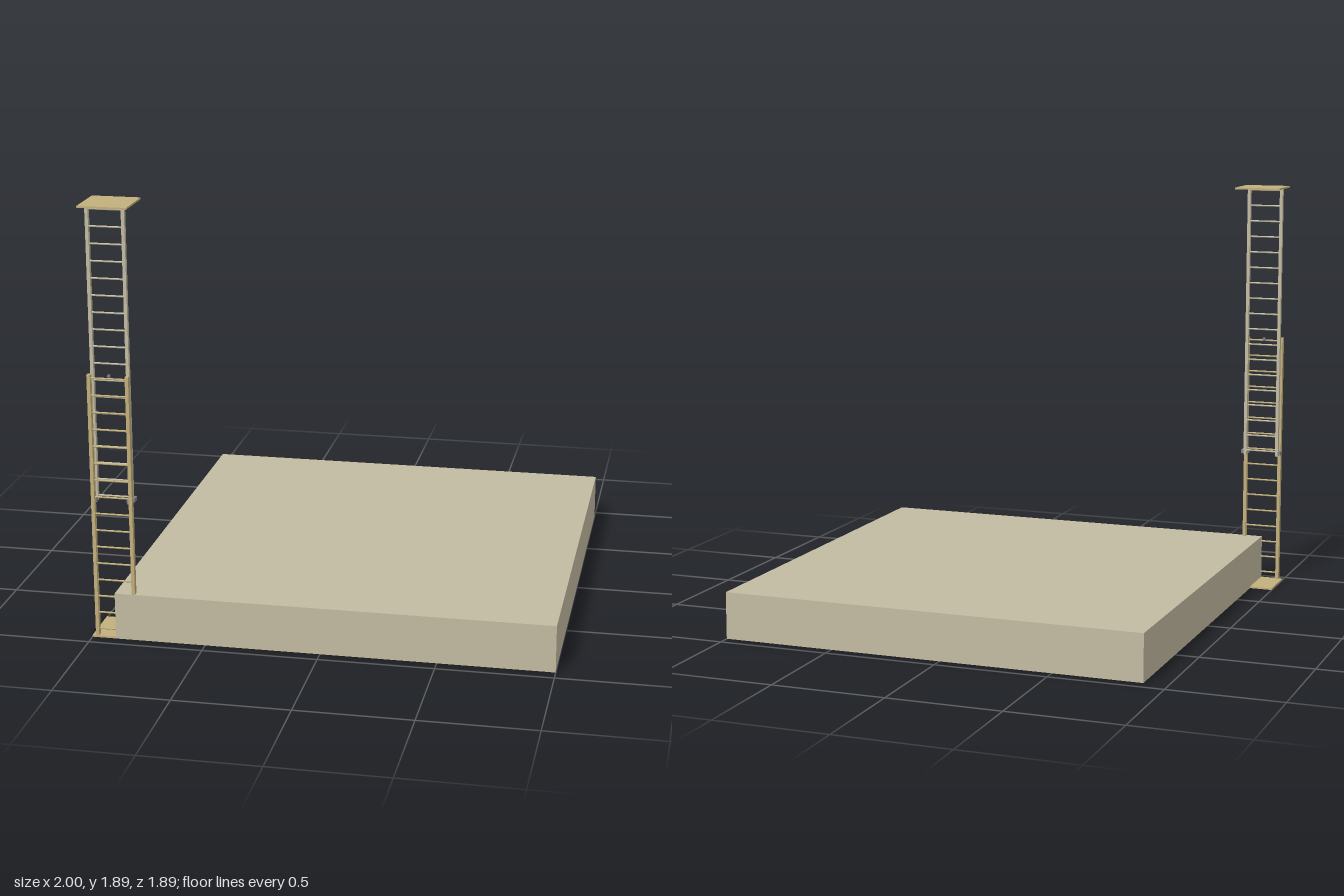
import * as THREE from 'three';

const material = (name, color) => {
  const m = new THREE.MeshStandardMaterial({ color });
  m.name = name;
  return m;
};

export function createModel() {
  const stone = material('stone', 0xc3bba2);
  const wood = material('wood', 0xc3b07c);
  const paleRail = material('pale rail', 0xc4bda4);
  const steel = material('steel', 0x80828a);

  const model = new THREE.Group();
  model.name = 'ladderAndRoof';
  const cx = -0.895; // ladder centre line

  // Box given by its limits on each axis
  const box = (name, mat, [x0, x1], [y0, y1], [z0, z1], parent = model) => {
    const mesh = new THREE.Mesh(new THREE.BoxGeometry(x1 - x0, y1 - y0, z1 - z0), mat);
    mesh.position.set((x0 + x1) / 2, (y0 + y1) / 2, (z0 + z1) / 2);
    mesh.name = name;
    parent.add(mesh);
    return mesh;
  };

  // Round bar running along x
  const bar = (name, mat, radius, length, y, z, parent) => {
    const mesh = new THREE.Mesh(new THREE.CylinderGeometry(radius, radius, length, 10), mat);
    mesh.rotation.z = Math.PI / 2;
    mesh.position.set(cx, y, z);
    mesh.name = name;
    parent.add(mesh);
  };

  // Ladder section: two rails and evenly spaced rungs
  const ladder = (name, railMat, rungMat, half, width, ys, zs, firstRung, count, step) => {
    const group = new THREE.Group();
    group.name = name;
    for (const s of [-1, 1]) {
      const xs = [cx + s * half, cx + s * (half - width)].sort((a, b) => a - b);
      box('rail', railMat, xs, ys, zs, group);
    }
    for (let i = 0; i < count; i++) {
      bar('rung', rungMat, 0.004, 2 * (half - width / 2), firstRung + i * step, (zs[0] + zs[1]) / 2, group);
    }
    model.add(group);
  };

  // Large slab
  box('slab', stone, [-0.895, 1], [0, 0.208], [-0.945, 0.945]);

  // Square plates at foot and head
  box('footPlate', wood, [-1, -0.79], [0, 0.008], [0.735, 0.945]);
  box('headPlate', wood, [-1, -0.79], [1.887, 1.895], [0.735, 0.945]);

  // Front lower section and rear extended section
  ladder('lowerLadder', wood, wood, 0.09, 0.015, [0.004, 1.178], [0.92, 0.944], 0.038, 16, 0.075);
  ladder('upperLadder', paleRail, paleRail, 0.084, 0.014, [0.613, 1.888], [0.888, 0.908], 0.635, 18, 0.073);

  // Brackets and hooks joining the two sections
  for (const s of [-1, 1]) {
    const side = (a, b) => [cx + s * a, cx + s * b].sort((p, q) => p - q);
    box('bracket', steel, side(0.084, 0.096), [0.62, 0.637], [0.887, 0.924]);
    box('hook', steel, side(0.066, 0.075), [0.616, 0.634], [0.918, 0.94]);
  }

  // Small pulley on the top rung of the lower section
  bar('pulley', steel, 0.008, 0.01, 1.17, 0.918, model);

  return model;
}
